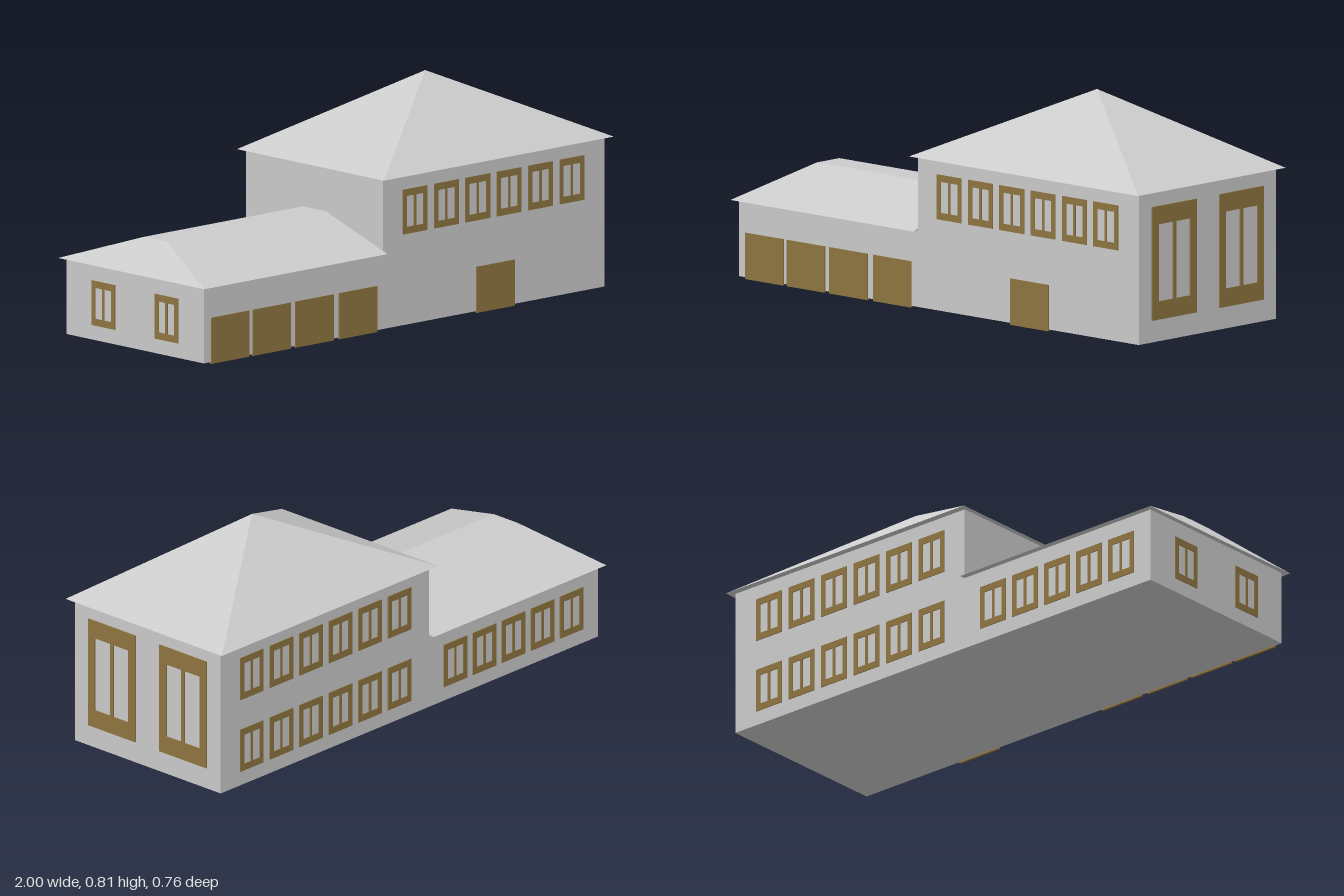
import * as THREE from 'three';
import { ConvexGeometry } from 'three/addons/geometries/ConvexGeometry.js';

const grey = new THREE.MeshStandardMaterial({ color: 0xcccccc, flatShading: true });
const brown = new THREE.MeshStandardMaterial({ color: 0x8f7540, flatShading: true });

const WALL_Z = 0.354;

// Box given by its limits on each axis
function block(name, material, [x0, x1], [y0, y1], [z0, z1]) {
  const mesh = new THREE.Mesh(new THREE.BoxGeometry(x1 - x0, y1 - y0, z1 - z0), material);
  mesh.position.set((x0 + x1) / 2, (y0 + y1) / 2, (z0 + z1) / 2);
  mesh.name = name;
  return mesh;
}

// Closed roof solid from its corner points
function roof(name, corners) {
  const points = corners.map(([x, y, z]) => new THREE.Vector3(x, y, z));
  const mesh = new THREE.Mesh(new ConvexGeometry(points), grey);
  mesh.name = name;
  return mesh;
}

function rectangle(Path, x0, y0, x1, y1) {
  const path = new Path();
  path.moveTo(x0, y0).lineTo(x1, y0).lineTo(x1, y1).lineTo(x0, y1).closePath();
  return path;
}

// Frame with two tall panes, centred on its own origin and facing +z
function windowGeometry(width, height, side, rail, mullion, depth) {
  const w = width / 2, h = height / 2, m = mullion / 2;
  const shape = rectangle(THREE.Shape, -w, -h, w, h);
  shape.holes.push(
    rectangle(THREE.Path, -w + side, -h + rail, -m, h - rail),
    rectangle(THREE.Path, m, -h + rail, w - side, h - rail)
  );
  return new THREE.ExtrudeGeometry(shape, { depth, bevelEnabled: false });
}

export function createModel() {
  const group = new THREE.Group();
  group.name = 'house';

  // Walls
  group.add(block('mainWalls', grey, [-0.105, 0.976], [0.006, 0.55], [-WALL_Z, WALL_Z]));
  group.add(block('wingWalls', grey, [-0.98, -0.105], [0.006, 0.282], [-WALL_Z, WALL_Z]));

  // Pyramid roof over the main block
  group.add(roof('mainRoof', [
    [-0.124, 0.55, -0.38], [-0.124, 0.55, 0.38],
    [0.998, 0.55, -0.38], [0.998, 0.55, 0.38],
    [0.436, 0.814, 0],
  ]));

  // Hipped roof with a narrow flat top over the wing
  const wingCorners = [];
  for (const s of [-1, 1]) {
    wingCorners.push(
      [-1, 0.281, s * 0.377], [-0.104, 0.281, s * 0.377],
      [-0.88, 0.389, s * 0.058], [-0.104, 0.389, s * 0.058]
    );
  }
  group.add(roof('wingRoof', wingCorners));

  // Garage doors and front door
  for (const x of [-0.853, -0.65, -0.442, -0.228]) {
    group.add(block('garageDoor', brown, [x - 0.093, x + 0.093], [0, 0.167], [0.35, 0.358]));
  }
  group.add(block('frontDoor', brown, [0.35, 0.536], [0, 0.167], [0.35, 0.358]));

  // Windows
  const small = windowGeometry(0.12, 0.162, 0.019, 0.025, 0.01, 0.004);
  const large = windowGeometry(0.229, 0.41, 0.033, 0.066, 0.016, 0.006);
  function addWindow(name, geometry, x, y, z, turn) {
    const mesh = new THREE.Mesh(geometry, brown);
    mesh.position.set(x, y, z);
    mesh.rotation.y = turn;
    mesh.name = name;
    group.add(mesh);
  }
  const upper = 0.416, lower = 0.14, faceZ = WALL_Z - 0.001;

  for (let i = 0; i < 6; i++) {
    const x = 0.05 + i * 0.1532;
    addWindow('frontWindow', small, x, upper, faceZ, 0);
    for (const y of [lower, upper]) addWindow('backWindow', small, x, y, -faceZ, Math.PI);
  }
  for (let i = 0; i < 5; i++) {
    addWindow('wingBackWindow', small, -0.24 - i * 0.1505, lower, -faceZ, Math.PI);
  }
  for (const s of [-1, 1]) {
    addWindow('wingEndWindow', small, -0.979, lower, s * 0.163, -Math.PI / 2);
    addWindow('mainEndWindow', large, 0.975, 0.29, s * 0.173, Math.PI / 2);
  }
  return group;
}
